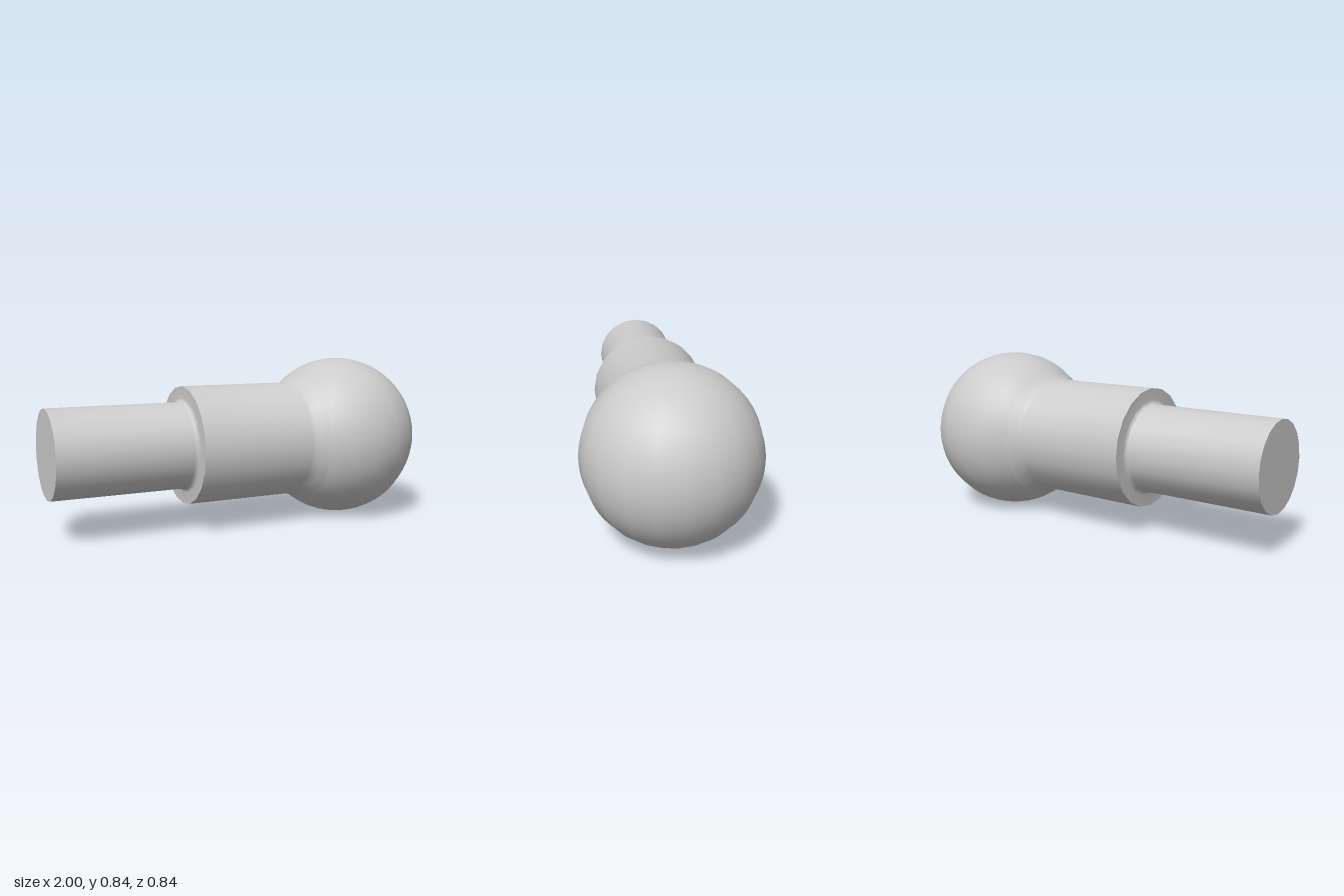
import * as THREE from 'three';
import { toCreasedNormals } from 'three/addons/utils/BufferGeometryUtils.js';

const SIDES = 20;
const BALL_R = 0.418;
const BALL_X = 0.582;

// Revolve [x, radius] points around the x axis.
function turned(name, profile, material) {
  const points = profile.map(([x, r]) => new THREE.Vector2(r, x));
  const geometry = new THREE.LatheGeometry(points, SIDES).rotateZ(-Math.PI / 2);
  const mesh = new THREE.Mesh(toCreasedNormals(geometry, Math.PI / 6), material);
  mesh.name = name;
  return mesh;
}

export function createModel() {
  const group = new THREE.Group();
  group.name = 'ballStud';
  const material = new THREE.MeshStandardMaterial({ color: 0xcccccc });

  // Shaft and collar, with a small fillet where they meet
  const shaftR = 0.217, collarR = 0.296, shoulderX = -0.32, fillet = 0.02;
  const profile = [[-1, 0], [-1, shaftR]];
  for (let i = 0; i <= 4; i++) {
    const a = (i / 4) * Math.PI / 2;
    profile.push([
      shoulderX - fillet + fillet * Math.sin(a),
      shaftR + fillet * (1 - Math.cos(a)),
    ]);
  }
  // Collar, flaring gently into the ball
  profile.push([shoulderX, collarR], [0.26, collarR], [0.28, 0.302], [0.305, 0.318], [0.34, 0.342]);
  group.add(turned('shaftAndCollar', profile, material));

  // Ball head
  const ball = new THREE.Mesh(new THREE.SphereGeometry(BALL_R, SIDES, 40), material);
  ball.name = 'ballHead';
  ball.position.x = BALL_X;
  group.add(ball);

  // Rest the ball on the ground
  group.children.forEach((part) => { part.position.y = BALL_R; });
  return group;
}
